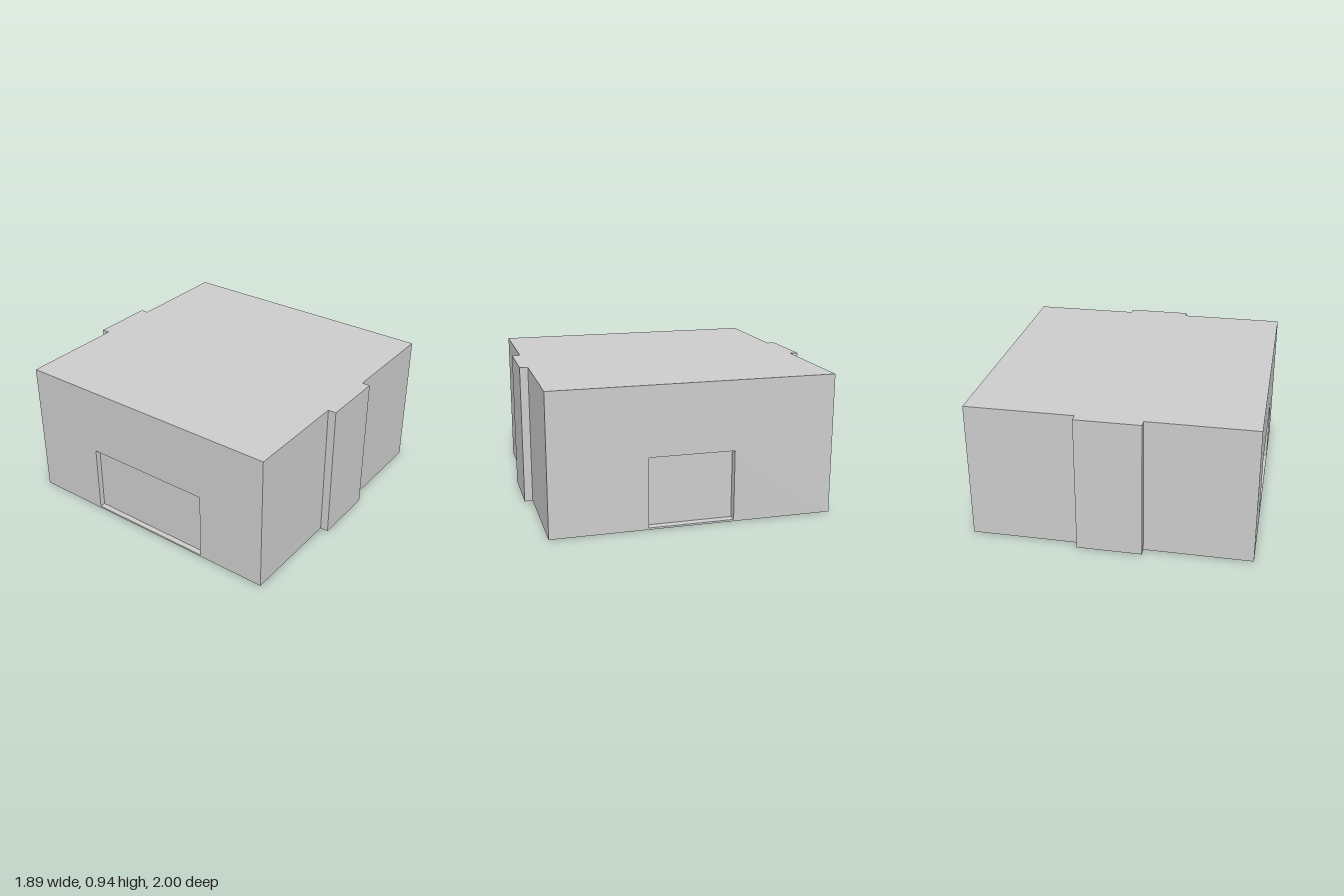
import * as THREE from 'three';

const HALF = 0.945, HEIGHT = 0.945;

export function createModel() {
  const model = new THREE.Group();
  const material = new THREE.MeshStandardMaterial({ color: 0xcccccc, flatShading: true });

  function add(name, geometry) {
    const mesh = new THREE.Mesh(geometry, material);
    mesh.name = name;
    model.add(mesh);
    return mesh;
  }

  function rectangle(PathType, x0, y0, x1, y1) {
    return new PathType([[x0, y0], [x1, y0], [x1, y1], [x0, y1]].map(p => new THREE.Vector2(...p)));
  }

  // Side wall with a shallow doorway cut through it; side is +1 (left) or -1 (right)
  function sideWall(name, side, depth, zMin, zMax) {
    const shape = rectangle(THREE.Shape, -HALF, 0, HALF, HEIGHT);
    const ends = [-side * zMin, -side * zMax].sort((a, b) => a - b);
    shape.holes.push(rectangle(THREE.Path, ends[0], 0.012, ends[1], 0.48));
    const wall = add(name, new THREE.ExtrudeGeometry(shape, { depth, bevelEnabled: false }));
    wall.rotation.y = side * Math.PI / 2;
    wall.position.x = side * (HALF - depth);
  }

  const leftDepth = 0.055, rightDepth = 0.038;
  sideWall('leftWall', 1, leftDepth, -0.27, 0.302);
  sideWall('rightWall', -1, rightDepth, -0.43, 0.466);

  // Core block with a pilaster on the front and back, closing the doorways from inside
  const xl = HALF - leftDepth, xr = -HALF + rightDepth;
  const plan = new THREE.Shape([
    [xr, -HALF], [-0.22, -HALF], [-0.22, -1], [0.217, -1], [0.217, -HALF], [xl, -HALF],
    [xl, HALF], [0.217, HALF], [0.217, 1], [-0.22, 1], [-0.22, HALF], [xr, HALF],
  ].map(p => new THREE.Vector2(...p)));
  const core = new THREE.ExtrudeGeometry(plan, { depth: HEIGHT, bevelEnabled: false });
  core.rotateX(-Math.PI / 2);
  add('buildingCore', core);

  return model;
}
